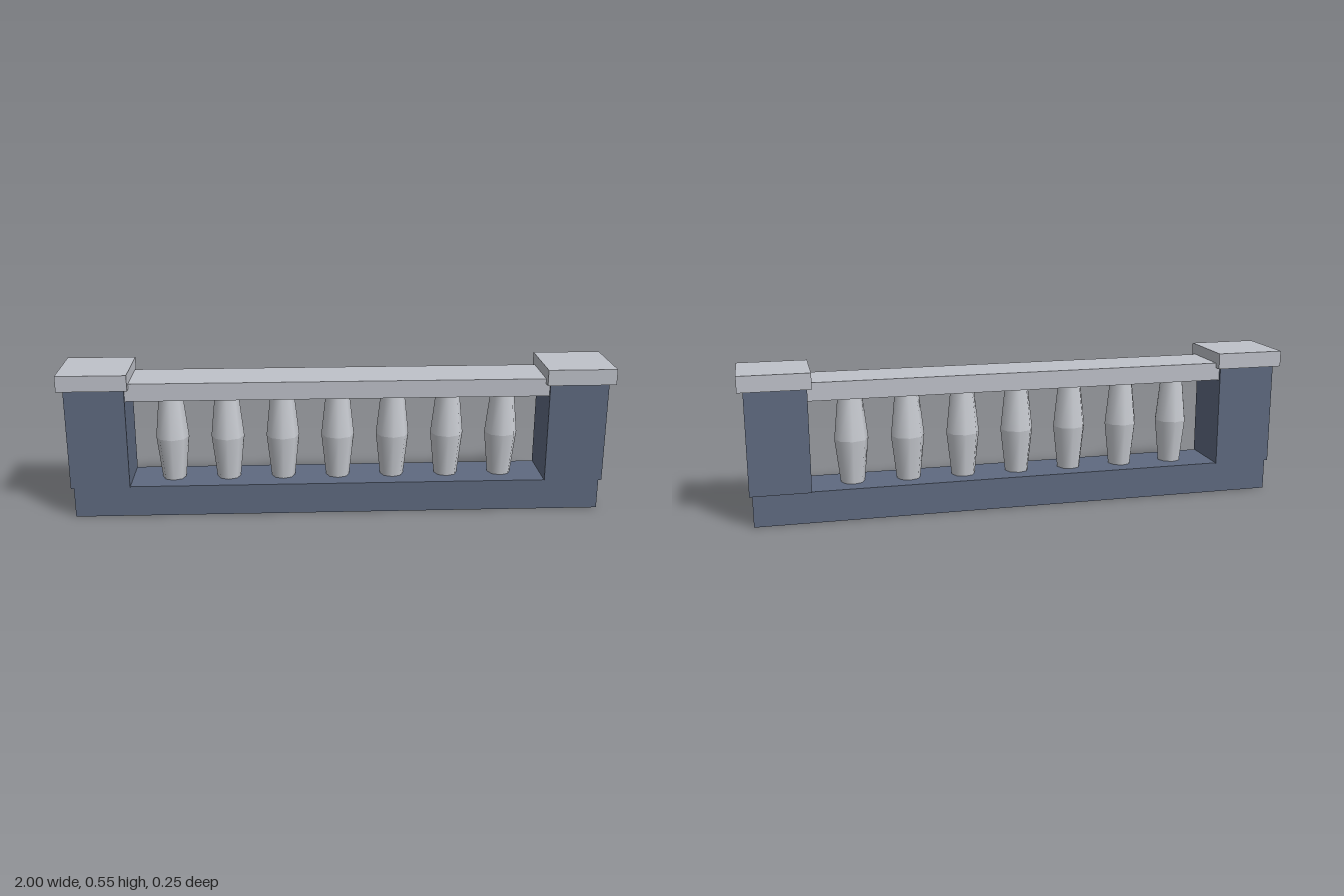
import * as THREE from 'three';

export function createModel() {
  const model = new THREE.Group();
  model.name = 'balustrade';

  const material = (name, color) => {
    const m = new THREE.MeshStandardMaterial({ color });
    m.name = name;
    return m;
  };
  const slate = material('slate stone', 0x5f6a80);
  const pale = material('pale stone', 0xbfc2ca);
  const light = material('light stone', 0xc8cbd1);

  // Box given by its centre x, bottom y and size
  const block = (name, mat, x, y, w, h, d) => {
    const mesh = new THREE.Mesh(new THREE.BoxGeometry(w, h, d), mat);
    mesh.name = name;
    mesh.position.set(x, y + h / 2, 0);
    model.add(mesh);
  };

  // Plinth and handrail
  block('plinth', slate, 0, 0, 1.94, 0.115, 0.203);
  block('handrail', pale, 0, 0.44, 1.54, 0.065, 0.194);

  // End posts with overhanging caps
  for (const [side, s] of [['left', 1], ['right', -1]]) {
    block(side + 'Post', slate, s * 0.8725, 0.113, 0.215, 0.375, 0.213);
    block(side + 'Cap', pale, s * 0.875, 0.487, 0.25, 0.058, 0.253);
  }

  // Balusters: two tapered halves meeting in a sharp waistline
  const lower = new THREE.CylinderGeometry(0.061, 0.043, 0.165, 8);
  const upper = new THREE.CylinderGeometry(0.043, 0.061, 0.165, 8);
  for (let i = -3; i <= 3; i++) {
    const baluster = new THREE.Group();
    baluster.name = 'baluster' + (i + 4);
    const bottom = new THREE.Mesh(lower, light);
    bottom.name = 'lowerHalf';
    bottom.position.y = 0.1925;
    const top = new THREE.Mesh(upper, light);
    top.name = 'upperHalf';
    top.position.y = 0.3575;
    baluster.add(bottom, top);
    baluster.position.x = i * 0.204;
    model.add(baluster);
  }

  return model;
}
